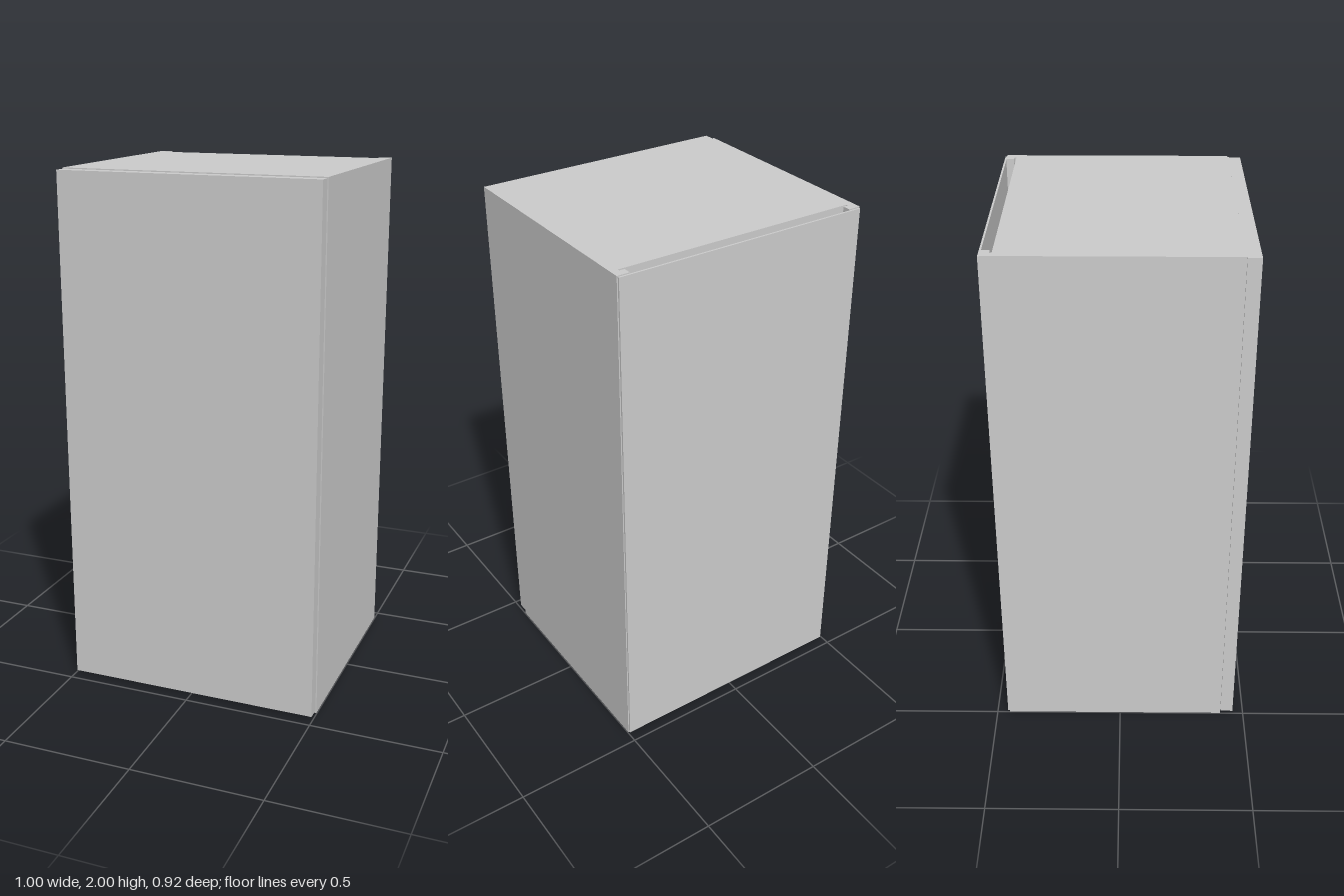
import * as THREE from 'three';

const W = 0.498;      // half width of the carcass
const T = 0.048;      // board thickness
const FRONT = 0.408;  // front edge of the carcass
const BACK = -0.451;  // back edge of the side boards
const INSET = -0.413; // back edge of the top and bottom boards
const H = 2;

export function createModel() {
  const cabinet = new THREE.Group();
  cabinet.name = 'cabinet';
  const material = new THREE.MeshStandardMaterial({ color: 0xcccccc, flatShading: true });

  function add(name, geometry) {
    const mesh = new THREE.Mesh(geometry, material);
    mesh.name = name;
    cabinet.add(mesh);
  }

  // Box given by its lower and upper corners
  function board(name, [x0, y0, z0], [x1, y1, z1]) {
    const g = new THREE.BoxGeometry(x1 - x0, y1 - y0, z1 - z0);
    g.translate((x0 + x1) / 2, (y0 + y1) / 2, (z0 + z1) / 2);
    add(name, g);
  }

  // Side boards: plan outline with a groove near the back, extruded upwards
  for (const [name, s] of [['leftSide', 1], ['rightSide', -1]]) {
    const inner = W - T, groove = W - 0.028;
    const plan = [
      [W, FRONT], [inner, FRONT], [inner, INSET], [groove, INSET],
      [groove, INSET - 0.008], [inner, INSET - 0.008], [inner, BACK], [W, BACK],
    ].map(([x, z]) => new THREE.Vector2(s * x, -z));
    const g = new THREE.ExtrudeGeometry(new THREE.Shape(plan), { depth: H, bevelEnabled: false });
    g.rotateX(-Math.PI / 2);
    add(name, g);
  }

  // Top and bottom boards, stopping short of the back
  board('bottomBoard', [-W + T, 0, INSET], [W - T, T, FRONT]);
  board('topBoard', [-W + T, H - T, INSET], [W - T, H, FRONT]);

  // Thin back panel and overlaid door
  board('backPanel', [-0.494, 0.004, -0.458], [0.494, 1.996, BACK]);
  board('door', [-0.496, 0.01, FRONT + 0.001], [0.494, 1.996, 0.458]);

  return cabinet;
}
